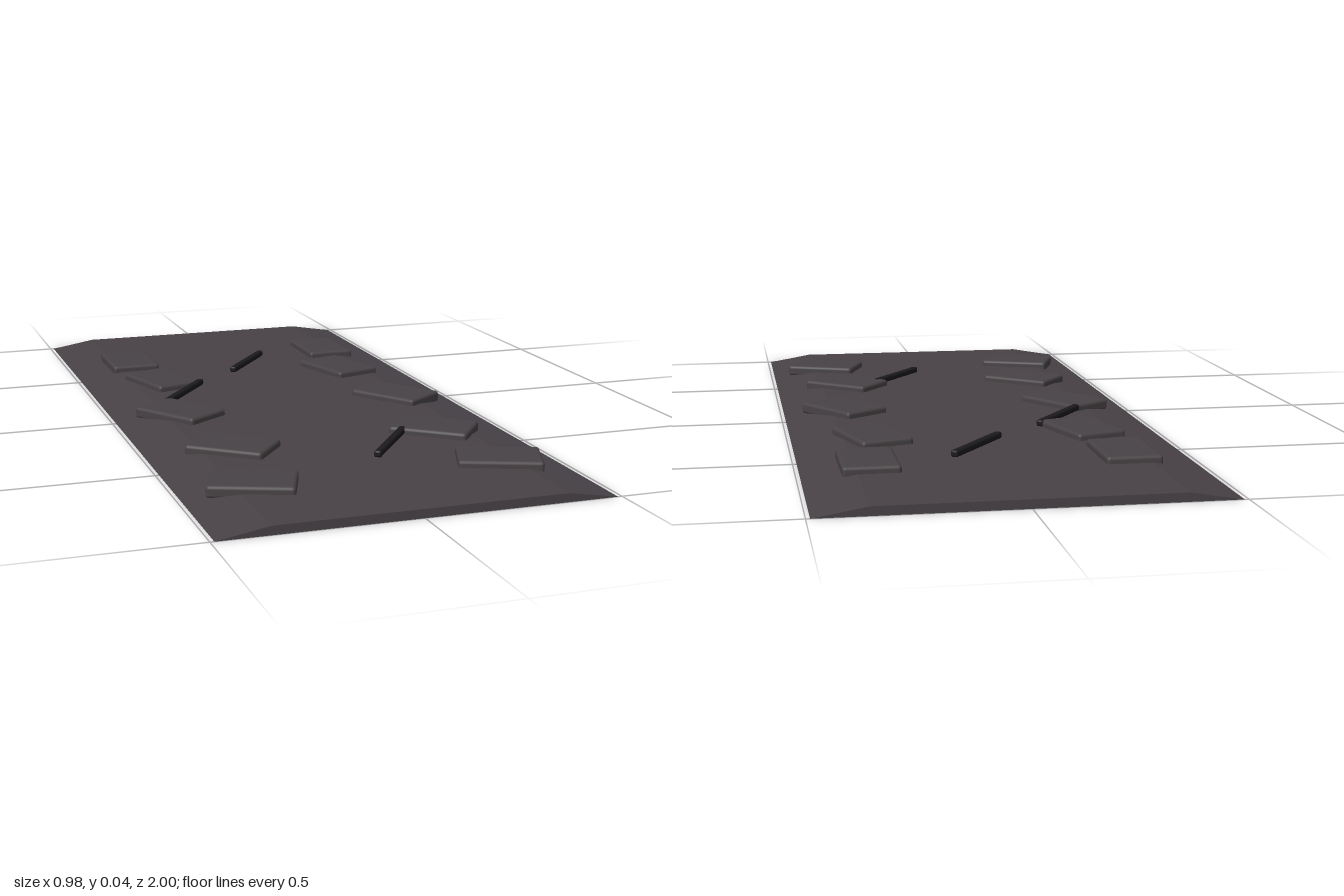
import * as THREE from 'three';
import { RoundedBoxGeometry } from 'three/addons/geometries/RoundedBoxGeometry.js';

export function createModel() {
  const group = new THREE.Group();
  const mat = (name, color) => {
    const m = new THREE.MeshStandardMaterial({ color });
    m.name = name;
    return m;
  };
  const ground = mat('dark ground', 0x484247);
  const slabStone = mat('paving stone', 0x484346);
  const crackDark = mat('crack black', 0x1c1a1c);

  const add = (name, geometry, material, x, y, z, turn) => {
    const mesh = new THREE.Mesh(geometry, material);
    mesh.name = name;
    mesh.position.set(x, y, z);
    mesh.rotation.y = turn;
    group.add(mesh);
  };

  // Path bed: low cambered cross-section run along z
  const half = [[0.49, 0], [0.43, 0.01], [0.36, 0.022]];
  const profile = new THREE.Shape([
    ...half.map(([x, y]) => new THREE.Vector2(x, y)),
    ...half.slice().reverse().map(([x, y]) => new THREE.Vector2(-x, y)),
  ]);
  const bed = new THREE.ExtrudeGeometry(profile, { depth: 2, bevelEnabled: false });
  bed.translate(0, 0, -1);
  add('pathBed', bed, ground, 0, 0, 0, 0);

  // Two rows of paving stones, each turned a little further than the last
  const stone = new RoundedBoxGeometry(0.142, 0.032, 0.21, 2, 0.009);
  const rows = [[0.32, -0.61], [0.28, -0.338], [0.32, 0.034], [0.278, 0.406], [0.319, 0.712]];
  rows.forEach(([x, z], i) => {
    for (const side of [-1, 1]) {
      add(side < 0 ? 'rightStone' : 'leftStone', stone, slabStone, side * x + 0.004, 0.024, z, i * 0.3);
    }
  });

  // Narrow dark crack strips
  const crack = new RoundedBoxGeometry(0.02, 0.018, 0.25, 2, 0.006);
  for (const [x, z] of [[0.034, -0.488], [-0.25, -0.174], [0.119, 0.501]]) {
    add('crack', crack, crackDark, x, 0.032, z, -0.65);
  }
  return group;
}
